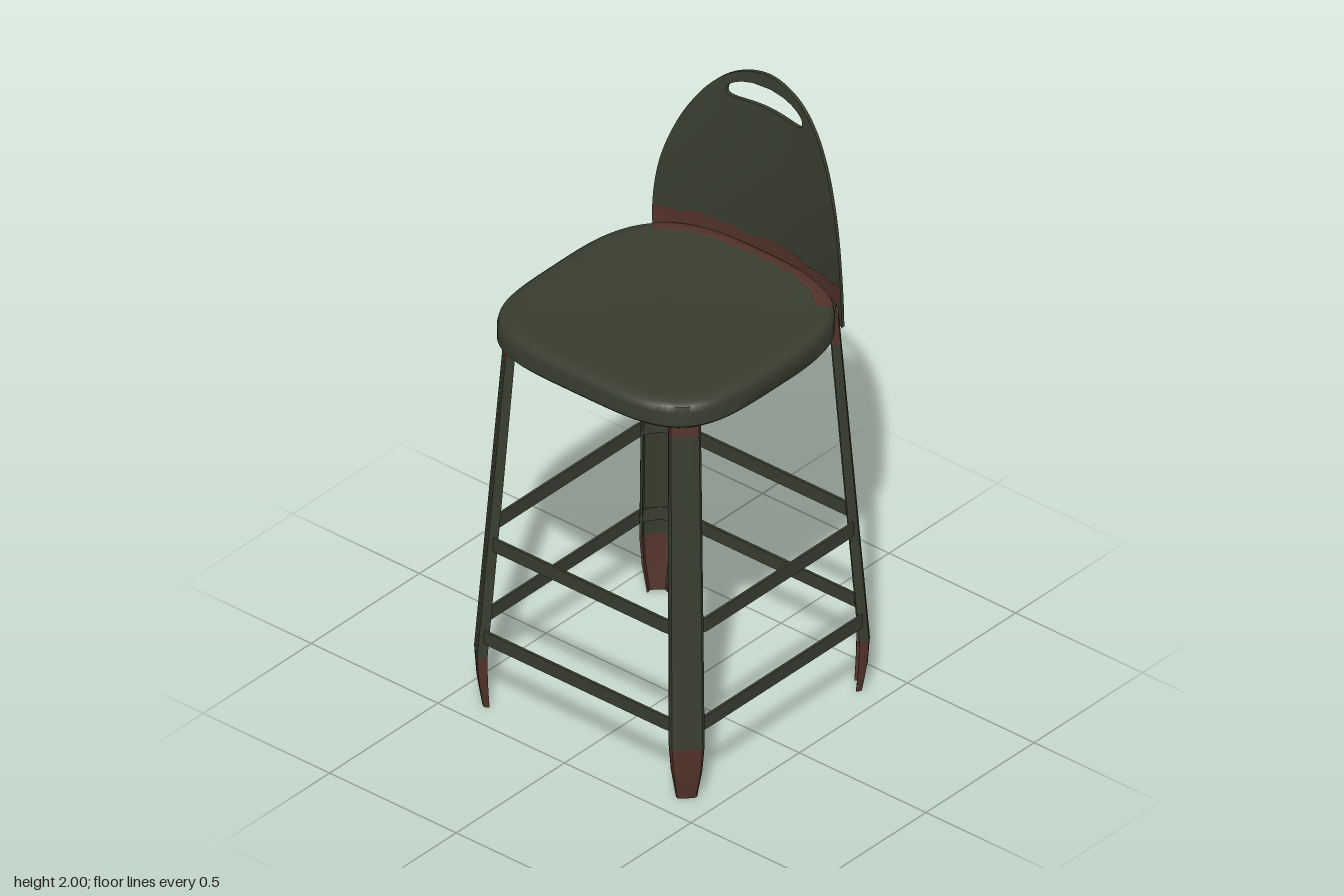
import * as THREE from 'three';
import { toCreasedNormals } from 'three/addons/utils/BufferGeometryUtils.js';

const V = (x, y, z) => new THREE.Vector3(x, y, z);

// Skin a list of equal-length rings of points
function loft(rings, closeRing = true, closeLoft = false) {
  const n = rings[0].length, m = rings.length, index = [];
  const geo = new THREE.BufferGeometry().setFromPoints(rings.flat());
  for (let i = 0; i < (closeLoft ? m : m - 1); i++) {
    for (let j = 0; j < (closeRing ? n : n - 1); j++) {
      const a = i * n + j, b = i * n + (j + 1) % n;
      const k = ((i + 1) % m) * n, c = k + j, d = k + (j + 1) % n;
      index.push(a, c, b, b, c, d);
    }
  }
  geo.setIndex(index);
  return toCreasedNormals(geo, 0.7);
}

const wiggle = (x) => Math.sin(x * 23) * 0.5 + Math.sin(x * 51 + 1) * 0.3 + Math.sin(x * 94) * 0.2;

// Seat outline: squarer at the front, rounder at the rear
function seatPoint(t, s, y) {
  const c = Math.cos(t), d = Math.sin(t), p = d > 0 ? 0.5 : 2 / 3;
  const x = 0.44 * Math.sign(c) * Math.abs(c) ** p;
  const z = (d > 0 ? 0.45 : 0.428) * Math.sign(d) * Math.abs(d) ** p;
  return V(x * s, y, z * s);
}
function seatRings(profile) {
  return profile.map(([s, y]) =>
    Array.from({ length: 96 }, (_, j) => seatPoint(j / 96 * Math.PI * 2, s, y)));
}

// Front surface of the curved backrest
const backZ = (x, y) =>
  -0.432 + 0.014 * Math.sin((y - 1.3) * 5.5) + (0.62 - 0.2 * (y - 1.3)) * x * x;

function backrestGeometry() {
  const half = [[0.372, 1.3], [0.373, 1.4], [0.366, 1.5], [0.35, 1.6], [0.32, 1.7],
    [0.275, 1.8], [0.205, 1.9], [0.115, 1.97]];
  const pts = [...half, [0, 2], ...half.slice().reverse().map(([x, y]) => [-x, y])];
  const shape = new THREE.Shape();
  shape.moveTo(...pts[0]);
  shape.splineThru(pts.slice(1).map((p) => new THREE.Vector2(...p)));
  shape.lineTo(...pts[0]);
  const outline = shape.getSpacedPoints(140).slice(0, 140);
  // Arched handle slot, matched to the outline by direction
  const slot = outline.map(({ x, y }) => {
    const a = Math.atan2((y - 1.91) / 1.6, x), c = Math.cos(a), s = Math.sin(a);
    const hx = 0.15 * Math.sign(c) * Math.abs(c) ** 0.75;
    return new THREE.Vector2(hx, 1.922 + 0.035 * Math.sign(s) * Math.abs(s) ** 0.75 - 1.1 * hx * hx);
  });
  const M = 16, rings = [];
  const ring = (f, off) => outline.map((p, j) => {
    const q = p.clone().lerp(slot[j], f);
    return V(q.x, q.y, backZ(q.x, q.y) + off);
  });
  for (let i = 0; i <= M; i++) rings.push(ring(i / M, 0));
  for (let i = M; i >= 0; i--) rings.push(ring(i / M, -0.012));
  return loft(rings, true, true);
}

// Shallow channel section of a leg: u across, v outward
const outer = [[-0.054, -0.034], [-0.053, -0.016], [-0.046, -0.004], [-0.025, 0],
  [0.025, 0], [0.046, -0.004], [0.053, -0.016], [0.054, -0.034]];
const section = [...outer, ...outer.map(([u, v]) => [u * 0.85, v === -0.034 ? v : v - 0.009]).reverse()];

function legRing([y, r, w]) {
  return section.map(([u, v]) => {
    const a = u * w, b = r + v * w;
    return V((b + a) * Math.SQRT1_2, y, (b - a) * Math.SQRT1_2);
  });
}
function legPart(stations) {
  const rings = stations.map(legRing);
  // Close an end by collapsing the wall onto its middle line
  const cap = (r) => r.map((p, j) => p.clone().lerp(r[r.length - 1 - j], 0.5));
  return loft([cap(rings[0]), ...rings, cap(rings[rings.length - 1])]);
}

// Flat band running round all four legs
function rungFrame(half, y, height) {
  const path = (P, h, r) => {
    const p = new P(), c = h - r;
    p.absarc(c, c, r, 0, Math.PI / 2);
    p.absarc(-c, c, r, Math.PI / 2, Math.PI);
    p.absarc(-c, -c, r, Math.PI, Math.PI * 1.5);
    p.absarc(c, -c, r, Math.PI * 1.5, Math.PI * 2);
    p.closePath();
    return p;
  };
  const shape = path(THREE.Shape, half, 0.1);
  shape.holes.push(path(THREE.Path, half - 0.009, 0.091));
  const geo = new THREE.ExtrudeGeometry(shape, { depth: height, bevelEnabled: false, curveSegments: 8 });
  return geo.rotateX(-Math.PI / 2).translate(0, y, 0.003);
}

export function createModel() {
  const model = new THREE.Group();
  model.name = 'barStool';
  const green = new THREE.MeshStandardMaterial({ color: 0x383d2f, side: THREE.DoubleSide });
  green.name = 'dark green paint';
  const rust = new THREE.MeshStandardMaterial({ color: 0x52332a, side: THREE.DoubleSide });
  rust.name = 'rust';
  const add = (name, geo, mat, parent = model) => {
    const mesh = new THREE.Mesh(geo, mat);
    mesh.name = name;
    parent.add(mesh);
    return mesh;
  };

  // Seat pan, hollow below
  add('seat', loft(seatRings([[0, 1.366], [0.88, 1.364], [0.93, 1.34], [0.955, 1.302], [0.985, 1.3],
    [1, 1.308], [1, 1.355], [0.99, 1.374], [0.965, 1.383], [0.9, 1.385], [0.8, 1.382],
    [0.5, 1.38], [0, 1.38]])), green);
  add('seatUndersideRust', loft(seatRings([[0.925, 1.337], [0.95, 1.299], [0.968, 1.299]])), rust);

  // Worn strip along the rear of the seat
  const rows = [[0.99, 1.376], [0.965, 1.385], [0.9, 1.387], [0.88, 1.3868]];
  add('seatRearRust', loft(rows.map(([s, y], i) => Array.from({ length: 61 }, (_, j) => {
    const t = Math.PI * 1.5 + (j / 30 - 1) * 0.85;
    return seatPoint(t, i === 3 ? s + 0.014 * wiggle(t) : s, y);
  })), false), rust);

  // Backrest with handle slot, and the worn strip at its foot
  add('backrest', backrestGeometry(), green);
  add('backrestRust', loft([0, 0.5, 1].map((f) => Array.from({ length: 61 }, (_, j) => {
    const x = (j / 30 - 1) * 0.366;
    const y = 1.37 + f * (0.055 + 0.012 * wiggle(x) + 0.1 * x * x);
    return V(x, y, backZ(x, y) + 0.003);
  })), false), rust);

  // Four splayed legs with rusted feet and tops
  const r = (y) => 0.594 - (y - 0.19) * 0.08;
  for (let i = 0; i < 4; i++) {
    const leg = new THREE.Group();
    leg.name = ['frontLeftLeg', 'backLeftLeg', 'backRightLeg', 'frontRightLeg'][i];
    leg.rotation.y = i * Math.PI / 2;
    leg.position.z = 0.003;
    add('foot', legPart([[0, 0.572, 0.6], [0.03, 0.577, 0.68], [0.1, 0.588, 0.88], [0.19, 0.594, 1]]), rust, leg);
    add('shaft', legPart([[0.19, 0.594, 1], [0.7, r(0.7), 0.97], [1.26, r(1.26), 0.92]]), green, leg);
    add('legTop', legPart([[1.26, r(1.26), 0.92], [1.36, r(1.36), 0.9]]), rust, leg);
    model.add(leg);
  }

  // Two levels of foot rungs
  add('lowerRungs', rungFrame(0.443, 0.244, 0.046), green);
  add('upperRungs', rungFrame(0.424, 0.575, 0.048), green);
  return model;
}
